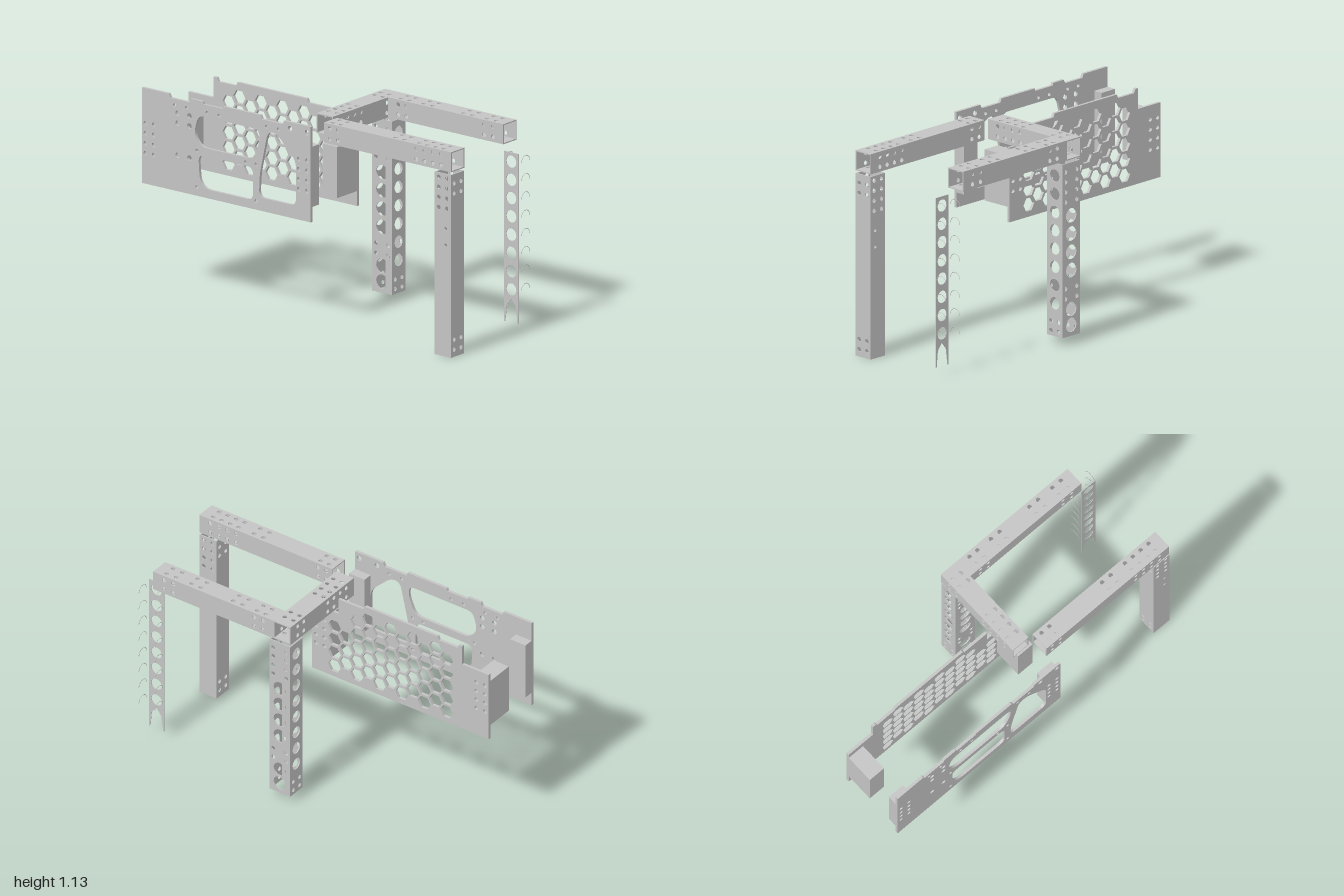
import * as THREE from 'three';

const steel = new THREE.MeshStandardMaterial({ color: 0xc4c4c4 });
steel.name = 'steelGrey';
const thinSteel = new THREE.MeshStandardMaterial({ color: 0xc4c4c4, side: THREE.DoubleSide });
thinSteel.name = 'thinSteelGrey';

const SMALL = 0.0125, BIG = 0.034;

// Circular or hexagonal hole path
function hole(x, y, r = SMALL, n = 16) {
  const pts = [];
  for (let i = 0; i < n; i++) {
    const a = (-i / n) * Math.PI * 2;
    pts.push(new THREE.Vector2(x + r * Math.cos(a), y + r * Math.sin(a)));
  }
  return new THREE.Path(pts);
}

// Closed polygon with rounded corners
function roundedPath(points, r) {
  const p = points.map(([x, y]) => new THREE.Vector2(x, y));
  const path = new THREE.Path();
  p.forEach((c, i) => {
    const toward = (q) => c.clone().lerp(q, Math.min(0.48, r / c.distanceTo(q)));
    const a = toward(p[(i + p.length - 1) % p.length]);
    const b = toward(p[(i + 1) % p.length]);
    if (i === 0) path.moveTo(a.x, a.y);
    else path.lineTo(a.x, a.y);
    path.quadraticCurveTo(c.x, c.y, b.x, b.y);
  });
  path.closePath();
  return path;
}

// Flat sheet with holes, extruded along +z
function sheet(name, outline, holes, depth, material = steel) {
  const shape = new THREE.Shape(outline.map(([x, y]) => new THREE.Vector2(x, y)));
  shape.holes.push(...holes);
  const geo = new THREE.ExtrudeGeometry(shape, { depth, bevelEnabled: false, curveSegments: 6 });
  const mesh = new THREE.Mesh(geo, material);
  mesh.name = name;
  return mesh;
}

function block(name, x0, x1, y0, y1, z0, z1) {
  const mesh = new THREE.Mesh(new THREE.BoxGeometry(x1 - x0, y1 - y0, z1 - z0), steel);
  mesh.position.set((x0 + x1) / 2, (y0 + y1) / 2, (z0 + z1) / 2);
  mesh.name = name;
  return mesh;
}

// Pairs of small holes at the given distances along a tube
const pairs = (list, u = 0.028) => list.flatMap((v) => [[-u, v], [u, v]]);

// Open-ended rectangular tube along local y; holes are [across, along, radius]
function tube(name, w, d, length, zHoles, xHoles) {
  const group = new THREE.Group();
  group.name = name;
  const t = 0.006;
  const wall = (width, list) => sheet(name + 'Wall',
    [[-width / 2, 0], [width / 2, 0], [width / 2, length], [-width / 2, length]],
    list.map(([u, v, r]) => hole(u, v, r)), t);
  for (const s of [-1, 1]) {
    const face = wall(w, zHoles);
    face.position.z = s > 0 ? d / 2 - t : -d / 2;
    const side = wall(d - 2 * t, xHoles);
    side.rotation.y = Math.PI / 2;
    side.position.x = s > 0 ? w / 2 - t : -w / 2;
    group.add(face, side);
  }
  return group;
}

// Bolt columns near both panel ends
function endHoles() {
  return [-0.977, -0.922, 0.06, 0.115].flatMap((x) =>
    [0.935, 0.88, 0.825, 0.77].map((y) => hole(x, y, 0.0125)));
}

// Front panel with three rounded windows
function frontPanel() {
  const windows = [
    [[-0.62, 1.045], [-0.21, 1.045], [-0.205, 0.98], [-0.25, 0.875], [-0.6, 0.875], [-0.65, 0.94]],
    [[-0.62, 0.83], [-0.25, 0.83], [-0.25, 0.65], [-0.57, 0.65], [-0.61, 0.69]],
    [[-0.15, 1.045], [-0.09, 1.045], [0.04, 0.92], [0.04, 0.675], [-0.21, 0.675], [-0.205, 0.8]],
  ].map((w) => roundedPath(w, 0.04));
  const spots = [[-0.78, 1.07], [-0.7, 1.07], [-0.56, 1.07], [-0.48, 1.07], [-0.16, 1.07], [-0.08, 1.07],
    [-0.63, 0.85], [-0.3, 0.85], [-0.23, 0.85], [-0.63, 0.65], [-0.23, 0.65]];
  const bolts = [[0, 1.09], [0.115, 1.09]];
  for (const x of [-0.76, -0.68]) for (const y of [1.03, 0.975, 0.8]) bolts.push([x, y]);
  const outline = [[-1, 0.603], [0.14, 0.603], [0.14, 1.126], [-0.04, 1.126], [-0.05, 1.105], [-0.19, 1.105],
    [-0.2, 1.126], [-0.45, 1.126], [-0.455, 1.112], [-0.585, 1.112], [-0.59, 1.126], [-0.67, 1.126],
    [-0.68, 1.105], [-0.81, 1.105], [-0.82, 1.126], [-1, 1.126]];
  const mesh = sheet('frontPanel', outline, [...windows, ...endHoles(),
    ...spots.map(([x, y]) => hole(x, y, 0.01)), ...bolts.map(([x, y]) => hole(x, y, 0.015))], 0.016);
  mesh.position.z = 0.376;
  return mesh;
}

// Rear panel with honeycomb perforation
function rearPanel() {
  const cells = [], R = 0.041, colPitch = 0.0725, rowPitch = 0.0837;
  for (let c = 0; c < 11; c++) {
    for (let r = 0; r < 6; r++) {
      const x = -0.73 + c * colPitch, y = 0.67 + (r + (c % 2) / 2) * rowPitch;
      const overStep = x < -0.77 || x > -0.08;
      if (y > (overStep ? 0.96 : 1.06)) continue;
      cells.push(hole(x, y, R, 6));
    }
  }
  const outline = [[-1, 0.603], [0.14, 0.603], [0.14, 1.012], [-0.03, 1.012], [-0.03, 1.105], [-0.19, 1.105],
    [-0.2, 1.126], [-0.67, 1.126], [-0.68, 1.105], [-0.8, 1.105], [-0.81, 1.126], [-0.83, 1.126],
    [-0.83, 1.012], [-1, 1.012]];
  const mesh = sheet('rearPanel', outline, [...cells, ...endHoles()], 0.016);
  mesh.position.z = -0.01;
  return mesh;
}

// Partial corner leg: a thin perforated strip with loose hole rims beside it
function skeletonLeg() {
  const group = new THREE.Group();
  group.name = 'skeletonLeg';
  const ys = Array.from({ length: 8 }, (_, i) => 0.23 + i * 0.1);
  const strip = sheet('perforatedStrip',
    [[0.893, 0.05], [0.9, 0.05], [0.912, 0.14], [0.943, 0.18], [0.974, 0.14], [0.983, 0.05], [0.99, 0.05],
      [0.99, 0.98], [0.893, 0.98]],
    ys.map((y) => hole(0.942, y, BIG)), 0.003, thinSteel);
  strip.position.z = -0.291;
  group.add(strip);
  const rim = new THREE.TorusGeometry(BIG, 0.0016, 4, 12, Math.PI);
  for (const x of [0.892, 0.998]) {
    for (const y of ys) {
      const arc = new THREE.Mesh(rim, thinSteel);
      arc.name = 'holeRim';
      arc.rotation.y = Math.PI / 2;
      arc.position.set(x, y, -0.338);
      group.add(arc);
    }
  }
  return group;
}

export function createModel() {
  const model = new THREE.Group();
  model.name = 'perforatedFrame';
  model.add(frontPanel(), rearPanel());

  // Mounting blocks at both ends of the panels
  for (const [x0, x1] of [[-1, -0.9], [0.04, 0.14]]) {
    model.add(block('rearMount', x0, x1, 0.685, 0.965, 0.006, 0.172));
    model.add(block('frontMount', x0, x1, 0.685, 1.015, 0.322, 0.376));
  }

  // Horizontal tubes
  const S = 0.11, midY = 1.07;
  const frontBeam = tube('frontBeam', S, S, 0.86,
    pairs([0.04, 0.095, 0.625, 0.68, 0.735, 0.79]),
    pairs([0.04, 0.095, 0.465, 0.525, 0.625, 0.68, 0.735, 0.79]));
  const rearBeam = tube('rearBeam', S, S, 0.78,
    pairs([0.07, 0.125, 0.65, 0.71]),
    pairs([0.07, 0.125, 0.22, 0.28, 0.49, 0.55, 0.65, 0.71]));
  // After turning, the local x walls become top and bottom
  for (const beam of [frontBeam, rearBeam]) beam.rotation.z = -Math.PI / 2;
  frontBeam.position.set(0.14, midY, 0.228);
  rearBeam.position.set(0.11, midY, -0.34);
  const crossSpots = pairs([0.065, 0.12, 0.335, 0.39, 0.445, 0.5]);
  const crossBeam = tube('crossBeam', S, S, 0.568, crossSpots, crossSpots);
  crossBeam.rotation.x = Math.PI / 2;
  crossBeam.position.set(0.057, midY, -0.395);
  model.add(frontBeam, rearBeam, crossBeam);

  // Legs
  const frontLeg = tube('frontLeg', S, S, 1,
    [...pairs([0.81, 0.865, 0.92, 0.975]), [0.02, 0.7, 0.009], [0.02, 0.61, 0.009]],
    pairs([0.04, 0.095, 0.895, 0.95]));
  frontLeg.position.set(0.945, 0, 0.229);
  const bigRow = (list, r) => list.map((v) => [0, v, r]);
  const rearLeg = tube('rearLeg', 0.135, S, 0.95,
    [...bigRow([0.06, 0.147, 0.36, 0.46, 0.56, 0.66], 0.04), ...pairs([0.21, 0.265, 0.74, 0.795, 0.85, 0.905], 0.042)],
    [...bigRow(Array.from({ length: 8 }, (_, i) => 0.18 + i * 0.1), BIG), ...pairs([0.028, 0.08])]);
  rearLeg.position.set(0.0725, 0.048, -0.338);
  model.add(frontLeg, rearLeg, skeletonLeg());
  return model;
}
